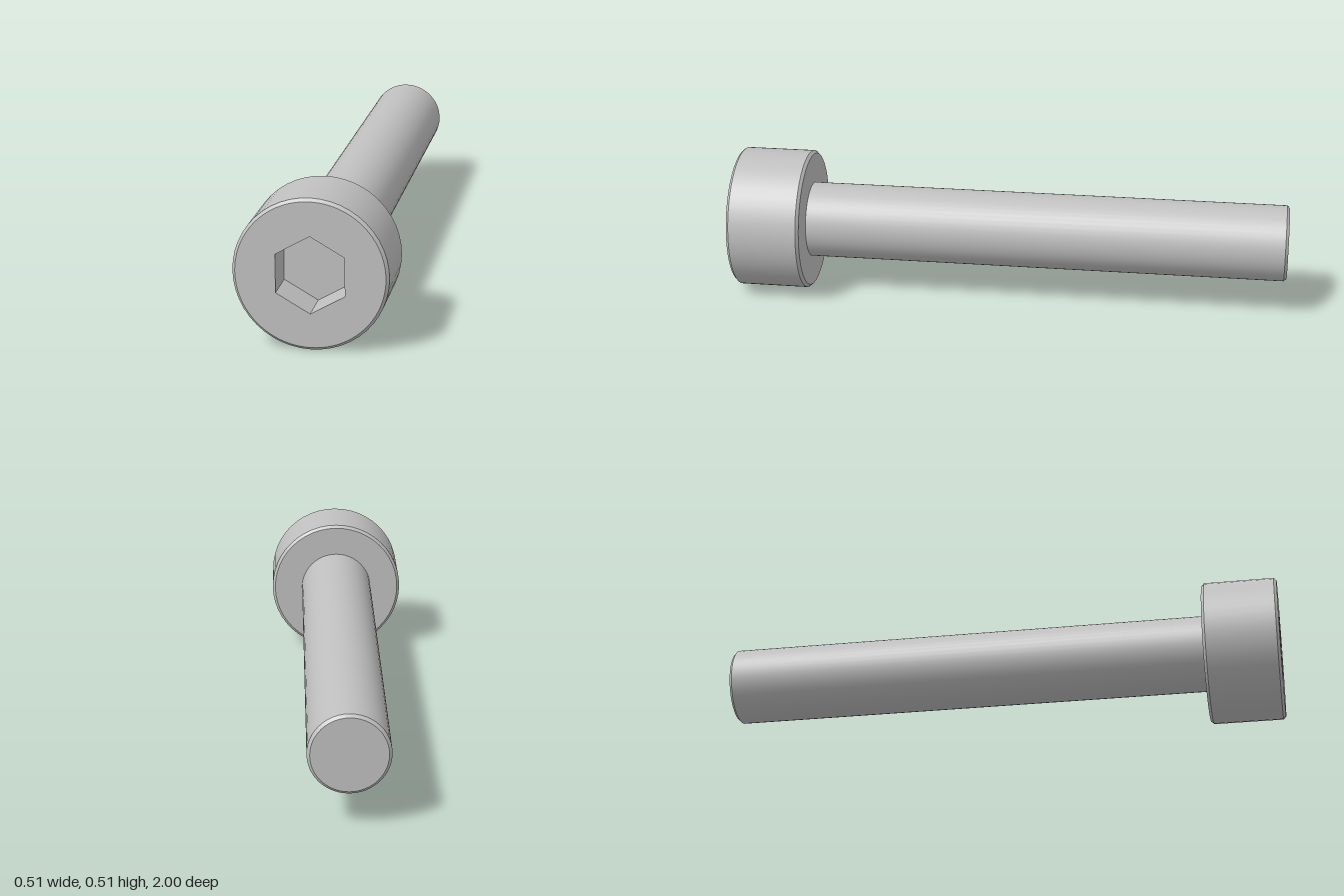
import * as THREE from 'three';
import { mergeGeometries } from 'three/addons/utils/BufferGeometryUtils.js';

const SIDES = 48;
const AXIS_Y = 0.253;

// Turned solid along z; each [radius, z] band keeps its own normals so rims stay crisp
function turned(profile) {
  const bands = [];
  for (let i = 0; i < profile.length - 1; i++) {
    const pts = [profile[i], profile[i + 1]].map(([r, z]) => new THREE.Vector2(r, z));
    bands.push(new THREE.LatheGeometry(pts, SIDES));
  }
  return mergeGeometries(bands).rotateX(Math.PI / 2);
}

export function createModel() {
  const steel = new THREE.MeshStandardMaterial({ color: 0xc0c0c0 });
  steel.name = 'steel grey';

  const bolt = new THREE.Group();
  bolt.name = 'socketHeadBolt';
  const add = (name, geometry, z = 0) => {
    const mesh = new THREE.Mesh(geometry, steel);
    mesh.name = name;
    mesh.position.set(0, AXIS_Y, z);
    bolt.add(mesh);
  };

  const headR = 0.253, shankR = 0.136, bevel = 0.01;
  const headBack = 0.734, hexR = 0.129, socketDepth = 0.13;

  // Shank with a bevelled tip
  add('shank', turned([
    [0, -1], [shankR - bevel, -1], [shankR, -1 + bevel], [shankR, headBack],
  ]));

  // Head: back shoulder, bevels and side
  add('head', turned([
    [shankR, headBack], [headR - bevel, headBack], [headR, headBack + bevel],
    [headR, 1 - bevel], [headR - bevel, 1],
  ]));

  // Front face with the hexagonal opening
  const face = new THREE.Shape().absarc(0, 0, headR - bevel, 0, Math.PI * 2, false);
  const corners = [];
  for (let i = 0; i < 6; i++) {
    const a = Math.PI / 2 - i * Math.PI / 3;
    corners.push(new THREE.Vector2(hexR * Math.cos(a), hexR * Math.sin(a)));
  }
  face.holes.push(new THREE.Path(corners));
  add('headFace', new THREE.ShapeGeometry(face, SIDES), 1);

  // Socket walls, mirrored so they face inward, and the socket floor
  const walls = new THREE.CylinderGeometry(hexR, hexR, socketDepth, 6, 1, true)
    .rotateX(Math.PI / 2).scale(-1, 1, 1).toNonIndexed();
  walls.computeVertexNormals();
  add('socketWalls', walls, 1 - socketDepth / 2);
  add('socketFloor', new THREE.CircleGeometry(hexR, 6, Math.PI / 2), 1 - socketDepth);

  return bolt;
}
